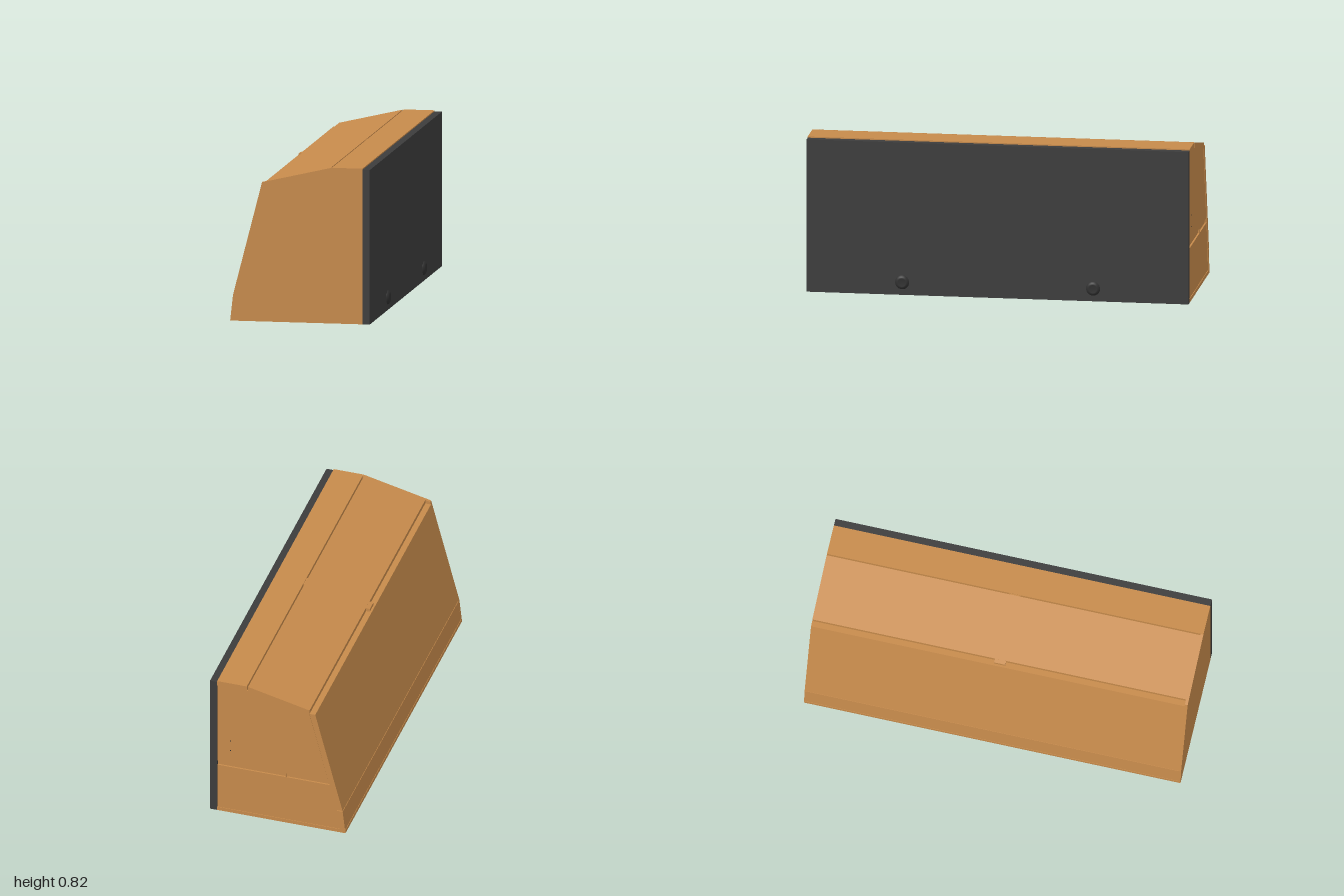
import * as THREE from 'three';

export function createModel() {
  const model = new THREE.Group();
  model.name = 'slopedCabinet';
  const wood = new THREE.MeshStandardMaterial({ name: 'warm wood', color: 0xc68a4b });
  const charcoal = new THREE.MeshStandardMaterial({ name: 'charcoal', color: 0x3c3c3c });
  const black = new THREE.MeshStandardMaterial({ name: 'dark rubber', color: 0x303030 });

  const FRONT = 0.985, BACK = -1, T = 0.02;

  function add(name, geometry, material) {
    const mesh = new THREE.Mesh(geometry, material);
    mesh.name = name;
    model.add(mesh);
    return mesh;
  }

  // Extrudes an x-y outline from z0 to z1
  function slab(name, points, z0 = BACK, z1 = FRONT, material = wood) {
    const shape = new THREE.Shape(points.map(([x, y]) => new THREE.Vector2(x, y)));
    const geo = new THREE.ExtrudeGeometry(shape, { depth: z1 - z0, bevelEnabled: false });
    geo.translate(0, 0, z0);
    return add(name, geo, material);
  }

  // Front end plate with the complete outline
  slab('frontPlate', [[-0.375, 0], [0.322, 0], [0.322, 0.816], [0.16, 0.816],
    [-0.207, 0.73], [-0.36, 0.135]], FRONT, 1);

  // Inner body: lower and upper blocks with a recessed rail between them
  slab('lowerBody', [[-0.343, T], [0.322, T], [0.322, 0.285], [-0.289, 0.285], [-0.329, 0.13]], -0.997);
  slab('rail', [[-0.289, 0.285], [0.322, 0.285], [0.322, 0.31], [-0.282, 0.31]], -0.988);
  slab('upperBody', [[-0.282, 0.31], [0.322, 0.31], [0.322, 0.787], [0.16, 0.787], [-0.18, 0.705]], -0.997);
  slab('railJoint', [[-0.055, 0.285], [-0.049, 0.285], [-0.049, 0.31], [-0.055, 0.31]], -0.997, -0.98);

  // Sloped side boards, with a narrow seam at the bend
  slab('lowerSideBoard', [[-0.3728, T], [-0.343, T], [-0.329, 0.133], [-0.36, 0.133]]);
  slab('slopedSideBoard', [[-0.3595, 0.137], [-0.328, 0.137], [-0.18, 0.715], [-0.211, 0.715]]);
  slab('fingerTab', [[-0.2, 0.712], [-0.178, 0.712], [-0.178, 0.736], [-0.2, 0.731]], -0.03, 0.03);

  // Top: sloping lid, a seam, and the flat fixed board
  slab('lid', [[-0.18, 0.705], [0.154, 0.785], [0.154, 0.8146], [-0.18, 0.7363]]);
  slab('topBoard', [[0.161, 0.787], [0.322, 0.787], [0.322, 0.816], [0.161, 0.816]]);
  slab('lidHinge', [[0.152, 0.784], [0.163, 0.784], [0.163, 0.812], [0.152, 0.812]], -0.03, 0.03);

  // Bottom board with a routed channel
  const base = new THREE.Shape([[-0.375, BACK], [0.322, BACK], [0.322, FRONT], [-0.375, FRONT]]
    .map(([x, z]) => new THREE.Vector2(x, z)));
  const channel = new THREE.Path();
  const R = 0.07, w = 0.006, H = Math.PI / 2;
  channel.moveTo(-0.21 - w, -0.69);
  channel.absarc(-0.14, 0.75, R + w, Math.PI, H, true);
  channel.absarc(0.08, 0.75, R + w, H, 0, true);
  channel.absarc(0.08, -0.8, R + w, 0, -H, true);
  channel.lineTo(-0.355, -0.87 - w);
  channel.lineTo(-0.355, -0.87 + w);
  channel.absarc(0.08, -0.8, R - w, -H, 0, false);
  channel.absarc(0.08, 0.75, R - w, 0, H, false);
  channel.absarc(-0.14, 0.75, R - w, H, Math.PI, false);
  channel.lineTo(-0.21 + w, -0.69);
  channel.closePath();
  base.holes.push(channel);
  const baseGeo = new THREE.ExtrudeGeometry(base, { depth: T, bevelEnabled: false, curveSegments: 8 });
  baseGeo.rotateX(H);
  baseGeo.translate(0, T, 0);
  add('bottomBoard', baseGeo, wood);

  // Dark panel covering the upright side
  slab('sidePanel', [[0.322, 0], [0.361, 0], [0.361, 0.81], [0.322, 0.81]], BACK, 1, charcoal);

  // Round feet on the dark panel
  const footProfile = [[0.037, 0], [0.036, 0.004], [0.029, 0.01], [0.023, 0.013], [0.021, 0.011], [0, 0.011]]
    .map(([r, y]) => new THREE.Vector2(r, y));
  for (const z of [-0.5, 0.5]) {
    const foot = add('foot', new THREE.LatheGeometry(footProfile, 32), black);
    foot.rotation.z = -H;
    foot.position.set(0.361, 0.067, z);
  }

  // Small pin holes on the back end
  for (const y of [0.39, 0.45]) {
    const pin = add('pinHole', new THREE.CircleGeometry(0.004, 12), black);
    pin.rotation.y = Math.PI;
    pin.position.set(0.25, y, -0.998);
  }

  return model;
}
